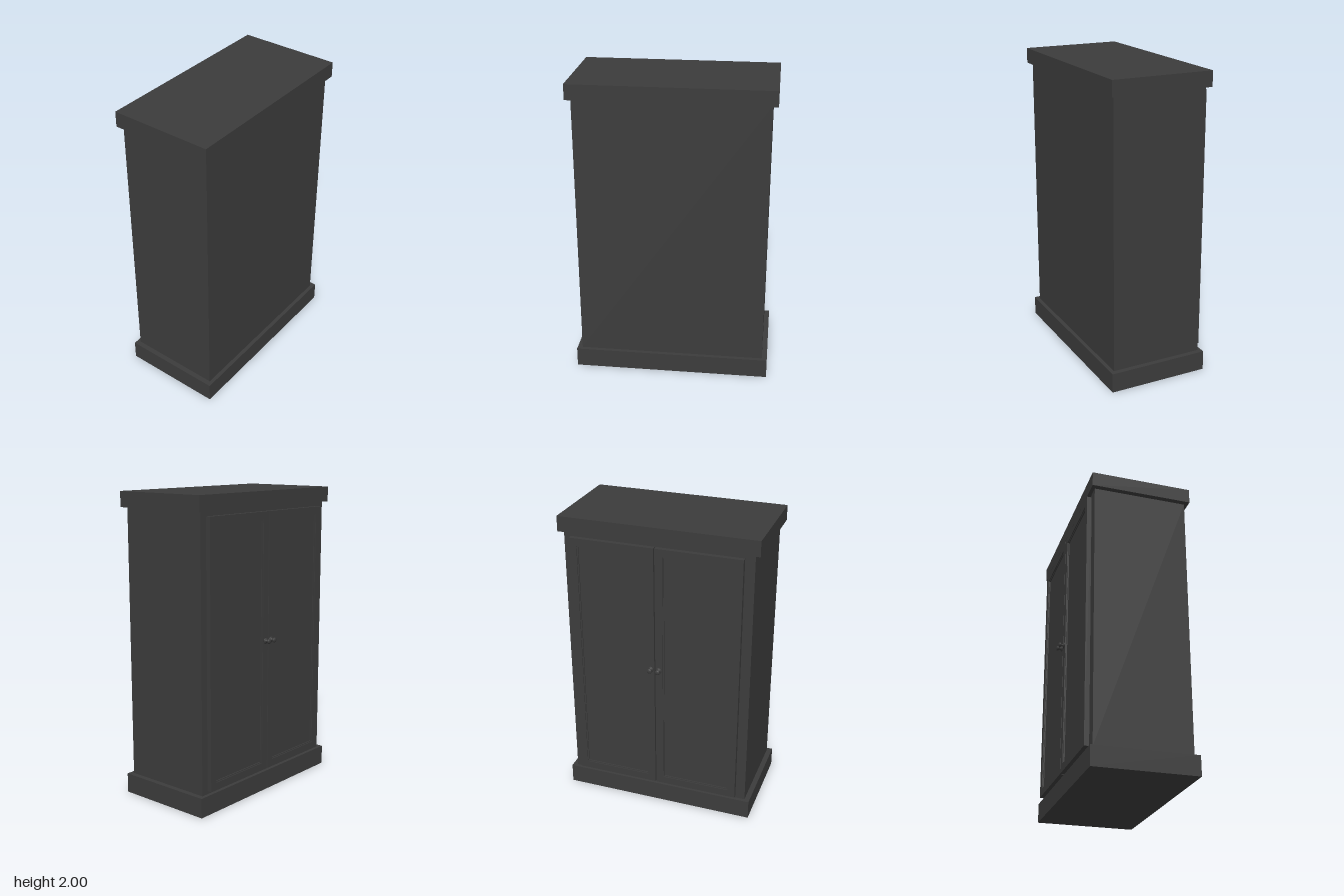
import * as THREE from 'three';

const material = new THREE.MeshStandardMaterial({ color: 0x3c3c3c });

function add(parent, name, geometry, x = 0, y = 0, z = 0) {
  const mesh = new THREE.Mesh(geometry, material);
  mesh.name = name;
  mesh.position.set(x, y, z);
  parent.add(mesh);
  return mesh;
}

// Box given by its lower and upper corners
function addBox(parent, name, [x0, y0, z0], [x1, y1, z1]) {
  return add(parent, name, new THREE.BoxGeometry(x1 - x0, y1 - y0, z1 - z0),
    (x0 + x1) / 2, (y0 + y1) / 2, (z0 + z1) / 2);
}

function rectangle(Type, w, h) {
  return new Type([[-w, -h], [w, -h], [w, h], [-w, h]]
    .map(([x, y]) => new THREE.Vector2(x / 2, y / 2)));
}

// Picture-frame ring, extruded toward +z
function frameGeometry(w, h, border, depth) {
  const shape = rectangle(THREE.Shape, w, h);
  shape.holes.push(rectangle(THREE.Path, w - 2 * border, h - 2 * border));
  return new THREE.ExtrudeGeometry(shape, { depth, bevelEnabled: false });
}

// Panelled door, built facing +z
function createDoor(name, w, h) {
  const door = new THREE.Group();
  door.name = name;
  add(door, 'doorFrame', frameGeometry(w, h, 0.05, 0.031));
  add(door, 'panelMoulding', frameGeometry(w - 0.1, h - 0.1, 0.008, 0.025));
  addBox(door, 'doorPanel', [-w / 2 + 0.05, -h / 2 + 0.05, 0.004],
    [w / 2 - 0.05, h / 2 - 0.05, 0.018]);
  return door;
}

// Turned knob: back plate, neck and rounded head
const knobProfile = [
  [0, 0], [0.02, 0], [0.02, 0.004], [0.017, 0.007], [0.009, 0.009],
  [0.008, 0.02], [0.011, 0.023], [0.016, 0.026], [0.017, 0.03],
  [0.015, 0.035], [0.009, 0.038], [0, 0.039],
].map(([r, y]) => new THREE.Vector2(r, y));

export function createModel() {
  const cabinet = new THREE.Group();
  cabinet.name = 'cabinet';

  // Carcass between plinth and top
  addBox(cabinet, 'plinth', [-0.315, 0, -0.65], [0.357, 0.13, 0.65]);
  addBox(cabinet, 'body', [-0.291, 0.13, -0.616], [0.331, 1.9, 0.616]);
  addBox(cabinet, 'top', [-0.315, 1.9, -0.65], [0.357, 2, 0.65]);

  // Pair of doors on the -x side, knobs close to the meeting edge
  const doors = [
    { side: 'left', z0: -0.571, z1: -0.012, knobZ: -0.036 },
    { side: 'right', z0: -0.005, z1: 0.553, knobZ: 0.019 },
  ];
  for (const { side, z0, z1, knobZ } of doors) {
    const door = createDoor(`${side}Door`, z1 - z0, 1.72);
    door.rotation.y = -Math.PI / 2;
    door.position.set(-0.294, 1.012, (z0 + z1) / 2);
    cabinet.add(door);
    const knob = add(cabinet, `${side}Knob`,
      new THREE.LatheGeometry(knobProfile, 24), -0.325, 1.036, knobZ);
    knob.rotation.z = Math.PI / 2;
  }
  return cabinet;
}
